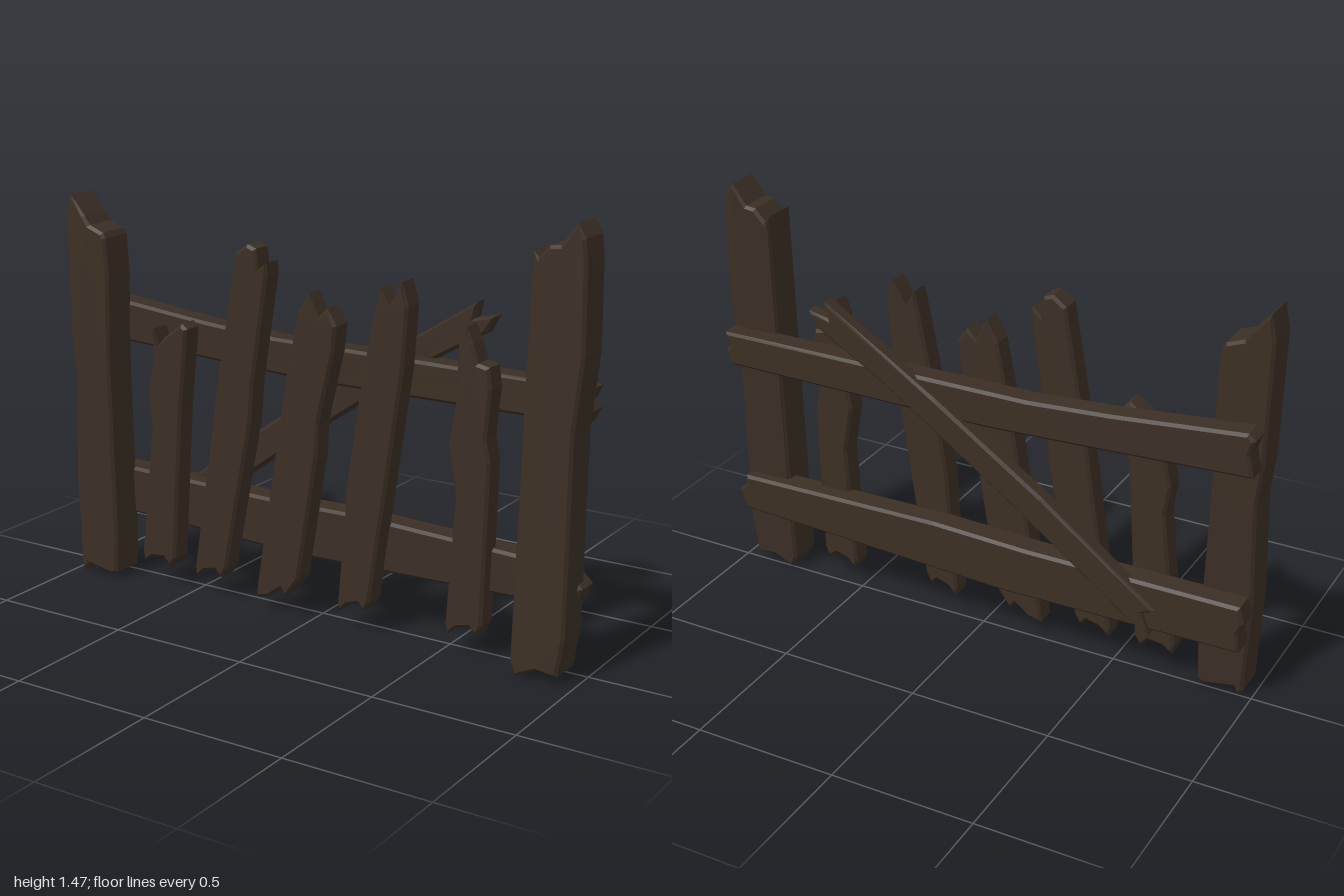
import * as THREE from 'three';

const BEVEL = 0.01;

// Outline of a splintered board. Corners run start-left, start-right, end-right, end-left.
// start and end hold teeth [position across, distance outward];
// left and right hold side nicks [position along, distance outward].
function boardShape(corners, { start, end, left = [], right = [] }) {
  const [a, b, c, d] = corners.map(([x, y]) => new THREE.Vector2(x, y));
  const along = c.clone().add(d).sub(a).sub(b).normalize();
  const across = new THREE.Vector2(along.y, -along.x);
  const edge = (from, to, marks, direction, sign) => marks.map(([t, out]) =>
    from.clone().lerp(to, t).addScaledVector(direction, out * sign));
  return new THREE.Shape([
    a, ...edge(a, b, start, along, -1),
    b, ...edge(b, c, right, across, 1),
    c, ...edge(d, c, end, along, 1).reverse(),
    d, ...edge(a, d, left, across, -1).reverse(),
  ]);
}

// Board between depths z0 and z1, leaning in z by dzdx and dzdy
function board(name, material, [z0, z1], corners, marks, dzdx = 0, dzdy = 0) {
  const geometry = new THREE.ExtrudeGeometry(boardShape(corners, marks), {
    depth: z1 - z0 - 2 * BEVEL,
    bevelThickness: BEVEL,
    bevelSize: BEVEL,
    bevelOffset: -BEVEL,
    bevelSegments: 1,
  });
  geometry.translate(0, 0, z0 + BEVEL);
  const p = geometry.attributes.position;
  for (let i = 0; i < p.count; i++) {
    p.setZ(i, p.getZ(i) + dzdx * p.getX(i) + dzdy * p.getY(i));
  }
  geometry.computeVertexNormals();
  const mesh = new THREE.Mesh(geometry, material);
  mesh.name = name;
  return mesh;
}

export function createModel() {
  const group = new THREE.Group();
  group.name = 'brokenFence';
  const wood = new THREE.MeshStandardMaterial({ color: 0x3b2f24 });
  wood.name = 'dark weathered wood';

  // Heavy end posts, leaning slightly back
  const post = (name, corners, marks) =>
    group.add(board(name, wood, [-0.01, 0.125], corners, marks, 0, -0.012));
  post('rightPost', [[-0.97, 0.03], [-0.81, 0.03], [-0.83, 1.25], [-1, 1.3]], {
    start: [[0.1, 0.02], [0.2, -0.01], [0.86, 0.01]],
    end: [[0.12, 0.095], [0.47, 0.045], [0.59, 0.02], [0.94, 0.015]],
    left: [[0.27, 0.007], [0.55, -0.012], [0.66, 0]],
    right: [[0.1, 0.007], [0.62, 0], [0.9, 0.008]],
  });
  post('leftPost', [[0.78, 0.05], [0.945, 0.035], [0.99, 1.35], [0.81, 1.38]], {
    start: [[0.12, 0.04], [0.55, 0]],
    end: [[0.11, -0.015], [0.3, 0.03], [0.5, 0.04], [0.78, 0.118], [0.94, 0.08]],
    right: [[0.1, 0.017], [0.6, -0.003], [0.79, 0.014]],
  });

  // Crooked pickets nailed to the front of the rails
  const brokenFoot = [[0.07, 0.035], [0.32, 0.01], [0.65, 0.005], [0.87, 0.035]];
  const picket = (name, front, corners, marks) =>
    group.add(board(name, wood, [front - 0.085, front], corners, { start: brokenFoot, ...marks }));
  picket('picket1', 0.09, [[-0.715, 0.12], [-0.57, 0.12], [-0.5, 0.965], [-0.645, 0.95]], {
    end: [[0.17, -0.06], [0.35, -0.03], [0.83, 0.02]],
    left: [[0.58, -0.014], [0.71, 0.01], [0.87, -0.009]],
    right: [[0.66, -0.008]],
  });
  picket('picket2', 0.1, [[-0.475, 0.11], [-0.34, 0.13], [-0.16, 1.19], [-0.285, 1.255]], {
    end: [[0.3, 0.055], [0.57, 0.06], [0.72, 0], [0.92, 0.04]],
    left: [[0.6, 0.007]],
    right: [[0.52, 0.015], [0.64, 0.004]],
  });
  picket('picket3', 0.1, [[-0.21, 0.1], [-0.04, 0.15], [0.11, 1.055], [-0.04, 1.08]], {
    start: [[0.02, 0.045], [0.33, 0.05], [0.6, 0.025], [0.75, 0.06]],
    end: [[0.2, 0.08], [0.53, 0.01], [0.7, 0.05]],
    left: [[0.75, 0.008]],
    right: [[0.5, 0], [0.62, -0.013], [0.9, 0.005]],
  });
  picket('picket4', 0.095, [[0.115, 0.105], [0.24, 0.13], [0.375, 1.15], [0.25, 1.12]], {
    end: [[0.08, 0.08], [0.42, 0.012], [0.72, 0.088]],
    left: [[0.28, 0.013], [0.41, 0.022], [0.78, 0.015]],
    right: [[0.8, 0.012]],
  });
  picket('picket5', 0.082, [[0.52, 0.11], [0.655, 0.13], [0.66, 0.99], [0.55, 1.055]], {
    end: [[0.22, 0.07], [0.45, 0.035], [0.64, -0.015]],
    left: [[0.46, -0.016], [0.64, 0.019], [0.8, -0.002]],
    right: [[0.64, 0.012], [0.73, -0.004], [0.92, 0.01]],
  });

  // Horizontal rails behind the posts
  group.add(board('topRail', wood, [-0.095, -0.005],
    [[-0.96, 1.02], [-0.985, 0.87], [0.95, 0.83], [0.975, 0.95]], {
      start: [[0.15, 0.02], [0.5, -0.005]],
      end: [[0.37, -0.01], [0.6, 0.015]],
      left: [[0.24, -0.028], [0.39, -0.037], [0.7, -0.017]],
      right: [[0.3, 0.018], [0.48, 0.026]],
    }, 0.004));
  group.add(board('bottomRail', wood, [-0.075, 0.02],
    [[-0.97, 0.4], [-0.975, 0.23], [0.955, 0.24], [0.95, 0.375]], {
      start: [[0.35, 0.015], [0.6, -0.005]],
      end: [[0.26, 0], [0.48, 0.03]],
      left: [[0.4, 0], [0.59, 0.013]],
      right: [[0.45, 0.028]],
    }, 0.02));

  // Diagonal brace across the back
  group.add(board('diagonalBrace', wood, [-0.117, -0.055],
    [[-0.69, 0.31], [-0.61, 0.24], [0.57, 1.06], [0.54, 1.16]], {
      start: [[0.45, -0.02], [0.9, 0.06]],
      end: [[0.4, -0.03], [0.7, 0.05]],
      left: [[0.35, 0.022], [0.67, 0.02]],
      right: [[0.4, -0.018], [0.8, -0.02]],
    }, -0.01));

  return group;
}
